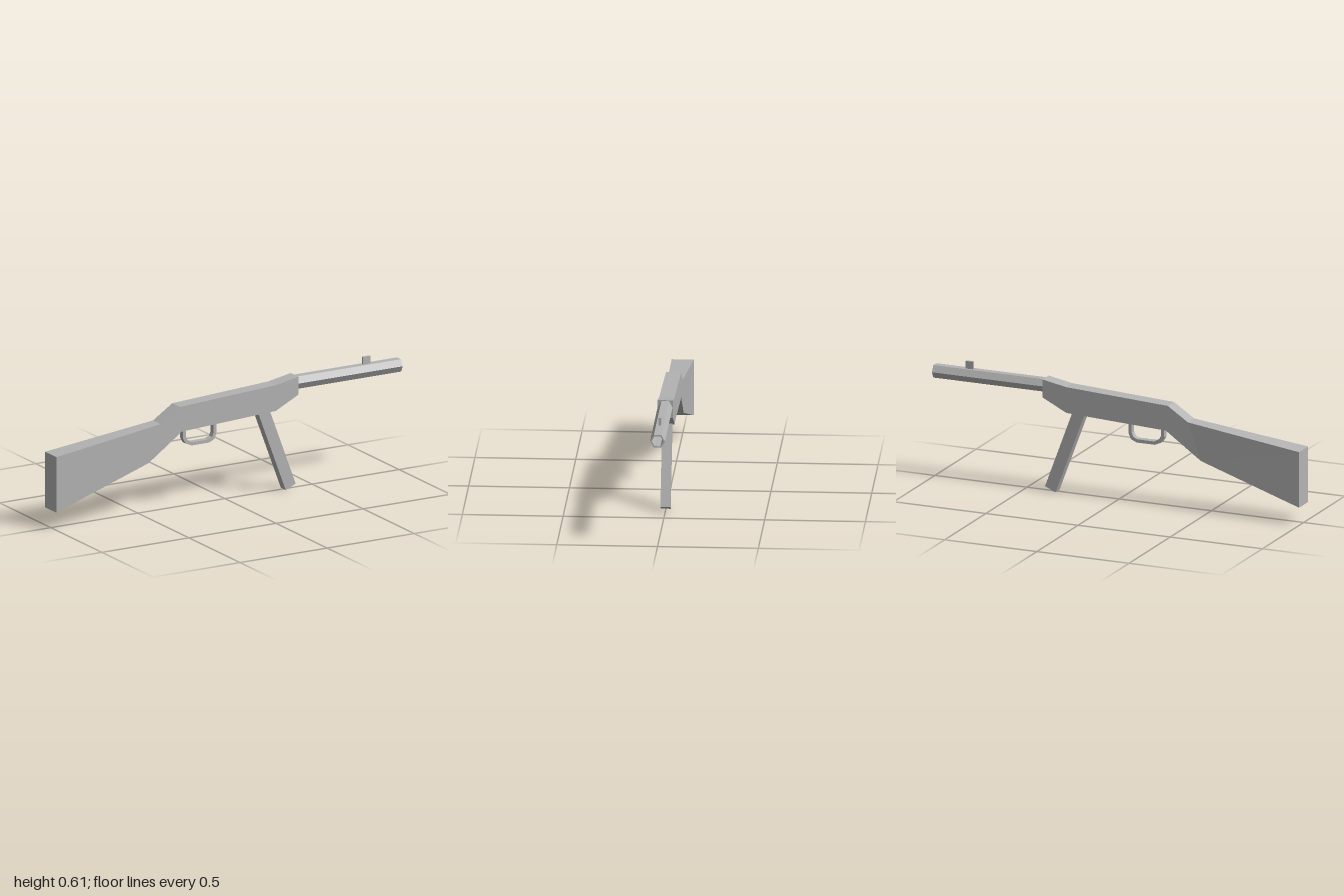
import * as THREE from 'three';

const grey = new THREE.MeshStandardMaterial({ color: 0xb4b4b4 });
grey.name = 'grey';

function add(group, name, geometry) {
  const flat = geometry.index ? geometry.toNonIndexed() : geometry;
  flat.computeVertexNormals();
  const mesh = new THREE.Mesh(flat, grey);
  mesh.name = name;
  group.add(mesh);
  return mesh;
}

// Extrudes an outline in the xy plane, centred on z = 0
function plate(points, depth, holes = []) {
  const shape = new THREE.Shape(points.map(([x, y]) => new THREE.Vector2(x, y)));
  holes.forEach(h => shape.holes.push(new THREE.Path(h.map(([x, y]) => new THREE.Vector2(x, y)))));
  const g = new THREE.ExtrudeGeometry(shape, { depth, bevelEnabled: false });
  return g.translate(0, 0, -depth / 2);
}

// Joins four-cornered cross-sections: [topX, topY, bottomX, bottomY, halfWidth]
function loft(sections) {
  const rings = sections.map(([tx, ty, bx, by, w]) => [[tx, ty, w], [tx, ty, -w], [bx, by, -w], [bx, by, w]]);
  const pos = [];
  const quad = (a, b, c, d) => pos.push(...a, ...b, ...c, ...a, ...c, ...d);
  for (let i = 0; i < rings.length - 1; i++) {
    for (let j = 0; j < 4; j++) {
      const k = (j + 1) % 4;
      quad(rings[i][j], rings[i + 1][j], rings[i + 1][k], rings[i][k]);
    }
  }
  const [a, b, c, d] = rings[0];
  quad(a, b, c, d);
  const [e, f, g, h] = rings[rings.length - 1];
  quad(h, g, f, e);
  const geo = new THREE.BufferGeometry();
  geo.setAttribute('position', new THREE.Float32BufferAttribute(pos, 3));
  return geo;
}

const hexagon = r => Array.from({ length: 6 }, (_, i) => [r * Math.cos(i * Math.PI / 3), r * Math.sin(i * Math.PI / 3)]);

export function createModel() {
  const model = new THREE.Group();
  model.name = 'model';

  // One-piece stock and body, flaring towards the butt
  add(model, 'stockAndBody', loft([
    [-1, 0.378, -1, 0.091, 0.055],
    [-0.39, 0.453, -0.46, 0.262, 0.038],
    [-0.28, 0.525, -0.27, 0.396, 0.038],
    [0.27, 0.555, 0.27, 0.422, 0.038],
    [0.4, 0.579, 0.4, 0.487, 0.038],
  ]));

  // Hollow six-sided barrel along x
  const barrel = add(model, 'barrel', plate(hexagon(0.037), 0.6, [hexagon(0.029)]));
  barrel.rotation.y = Math.PI / 2;
  barrel.position.set(0.7, 0.543, 0);

  // Small upright on the barrel
  const sight = add(model, 'frontSight', new THREE.BoxGeometry(0.042, 0.044, 0.012));
  sight.position.set(0.811, 0.592, 0);

  // Slanted magazine, its top sunk into the body
  add(model, 'magazine', plate([[0.166, 0.45], [0.335, 0], [0.392, 0.025], [0.234, 0.45]], 0.048));

  // Open loop below the body
  add(model, 'triggerGuard', plate([
    [-0.25, 0.41], [-0.25, 0.353], [-0.235, 0.324], [-0.2, 0.308],
    [-0.1, 0.308], [-0.07, 0.322], [-0.058, 0.35], [-0.058, 0.42],
    [-0.074, 0.42], [-0.074, 0.354], [-0.083, 0.335], [-0.105, 0.325],
    [-0.195, 0.325], [-0.222, 0.338], [-0.233, 0.358], [-0.233, 0.41],
  ], 0.03));

  return model;
}
